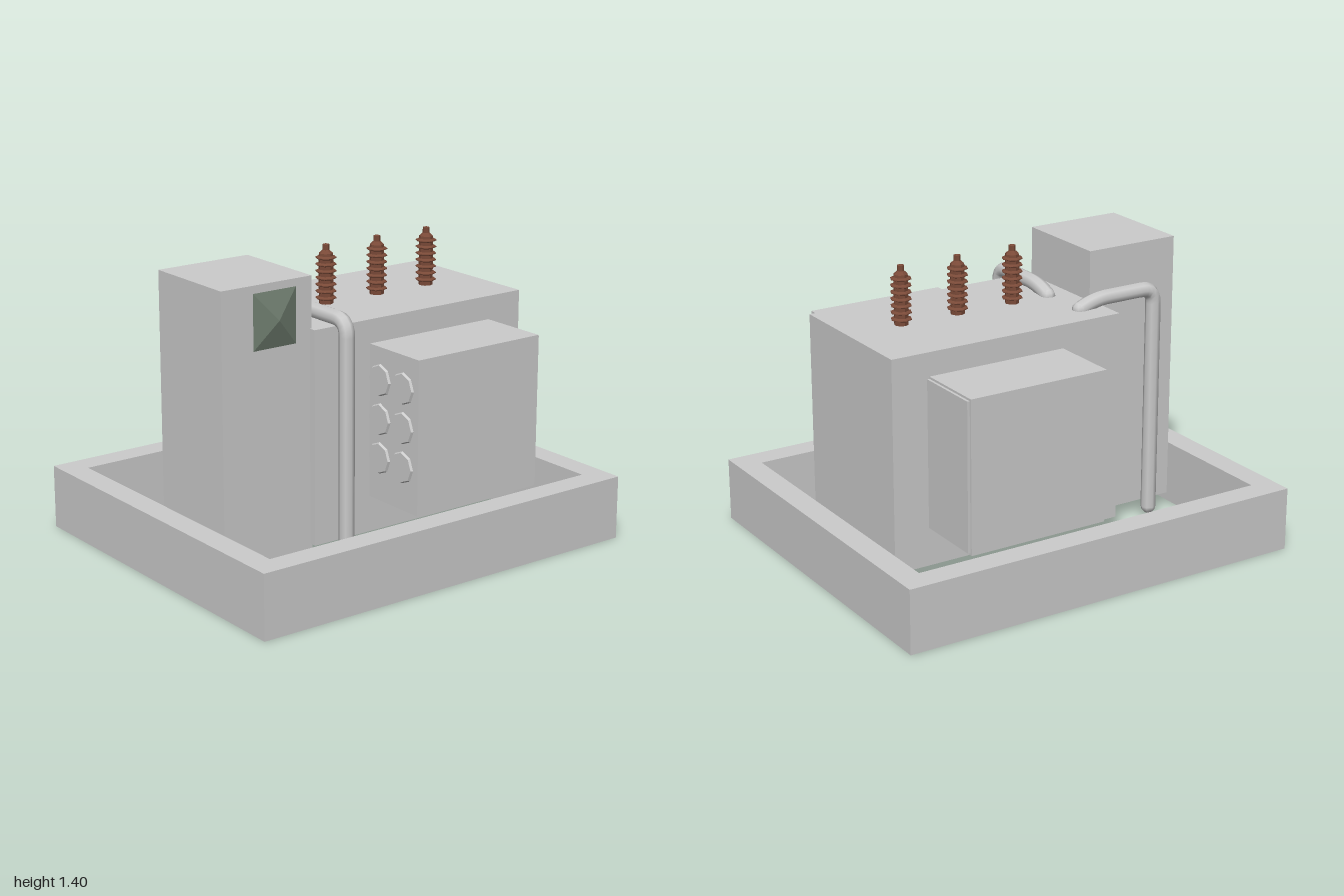
import * as THREE from 'three';

const grey = new THREE.MeshStandardMaterial({ color: 0xcccccc, flatShading: true });
const smoothGrey = new THREE.MeshStandardMaterial({ color: 0xcccccc });
const brown = new THREE.MeshStandardMaterial({ color: 0x7a4a38, flatShading: true });
const green = new THREE.MeshStandardMaterial({ color: 0x707e70, flatShading: true });

function add(parent, name, geometry, material = grey) {
  const mesh = new THREE.Mesh(geometry, material);
  mesh.name = name;
  parent.add(mesh);
  return mesh;
}

// Box given by its limits on each axis
function box(parent, name, [x0, x1], [y0, y1], [z0, z1]) {
  const mesh = add(parent, name, new THREE.BoxGeometry(x1 - x0, y1 - y0, z1 - z0));
  mesh.position.set((x0 + x1) / 2, (y0 + y1) / 2, (z0 + z1) / 2);
  return mesh;
}

function rectangle(PathType, x, y) {
  return new PathType([[-x, -y], [x, -y], [x, y], [-x, y]].map(p => new THREE.Vector2(...p)));
}

// Pipe running through straight legs with rounded bends, closed at both ends
function pipe(parent, name, points, bend) {
  const p = points.map(a => new THREE.Vector3(...a));
  const path = new THREE.CurvePath();
  let start = p[0];
  for (let i = 1; i < p.length - 1; i++) {
    const before = p[i].clone().add(p[i - 1].clone().sub(p[i]).setLength(bend));
    const after = p[i].clone().add(p[i + 1].clone().sub(p[i]).setLength(bend));
    path.add(new THREE.LineCurve3(start, before));
    path.add(new THREE.QuadraticBezierCurve3(before, p[i], after));
    start = after;
  }
  path.add(new THREE.LineCurve3(start, p[p.length - 1]));
  const group = new THREE.Group();
  group.name = name;
  add(group, 'pipeWall', new THREE.TubeGeometry(path, 64, 0.036, 8), smoothGrey);
  for (const end of [p[0], p[p.length - 1]]) {
    add(group, 'pipeEnd', new THREE.SphereGeometry(0.036, 8, 6), smoothGrey).position.copy(end);
  }
  parent.add(group);
}

// Ribbed insulator profile
function bushingGeometry() {
  const profile = [[0, 0], [0.033, 0]];
  for (let i = 0; i < 7; i++) {
    const y = 0.018 + i * 0.031;
    profile.push([0.033, y], [0.048, y + 0.006], [0.048, y + 0.01], [0.033, y + 0.016]);
  }
  profile.push([0.032, 0.232], [0.016, 0.247], [0.016, 0.272], [0, 0.276]);
  return new THREE.LatheGeometry(profile.map(p => new THREE.Vector2(...p)), 8);
}

export function createModel() {
  const model = new THREE.Group();
  model.name = 'transformer';

  // Open rectangular base
  const outline = rectangle(THREE.Shape, 0.85, 1);
  outline.holes.push(rectangle(THREE.Path, 0.73, 0.885));
  const base = new THREE.ExtrudeGeometry(outline, { depth: 0.3, bevelEnabled: false });
  base.rotateX(-Math.PI / 2);
  add(model, 'baseFrame', base);

  // Main tank and control cabinet
  box(model, 'tank', [-0.37, 0.365], [0.13, 1.12], [-0.795, 0.38]);
  box(model, 'controlCabinet', [-0.15, 0.33], [0.07, 1.355], [0.37, 0.84]);

  // Pyramid-shaped cover on the cabinet side
  const pyramid = new THREE.ConeGeometry(Math.SQRT1_2, 1, 4);
  pyramid.rotateY(Math.PI / 4).rotateZ(-Math.PI / 2).scale(0.037, 0.26, 0.23);
  add(model, 'cabinetWindow', pyramid, green).position.set(0.3475, 1.193, 0.565);

  // Cooler on each side, with a back panel and six fan covers
  const fanGeometry = new THREE.CylinderGeometry(0.068, 0.075, 0.012, 8).rotateX(Math.PI / 2);
  for (const side of [1, -1]) {
    const cooler = new THREE.Group();
    cooler.name = side > 0 ? 'leftCooler' : 'rightCooler';
    const span = (a, b) => (side > 0 ? [a, b] : [-b, -a]);
    box(cooler, 'coolerBody', span(0.36, 0.705), [0.3, 1.01], [-0.61, 0.077]);
    box(cooler, 'backPanel', span(0.36, 0.695), [0.31, 1.0], [-0.622, -0.61]);
    for (const x of [0.44, 0.6]) {
      for (const y of [0.5, 0.68, 0.86]) {
        add(cooler, 'fanCover', fanGeometry).position.set(side * x, y, 0.081);
      }
    }
    model.add(cooler);
  }

  // Row of insulators on the tank
  const bushing = bushingGeometry();
  for (const z of [0.06, -0.23, -0.52]) {
    add(model, 'bushing', bushing, brown).position.set(0.02, 1.12, z);
  }

  // Pipes from the tank top down beside the cabinet
  pipe(model, 'rightPipe', [[-0.23, 1.12, 0.26], [-0.23, 1.155, 0.34], [-0.23, 1.155, 0.67], [-0.23, 0.07, 0.67]], 0.07);
  pipe(model, 'leftPipe', [[0.02, 1.12, 0.255], [0.1, 1.155, 0.255], [0.43, 1.155, 0.255], [0.43, 0.07, 0.255]], 0.07);

  return model;
}
